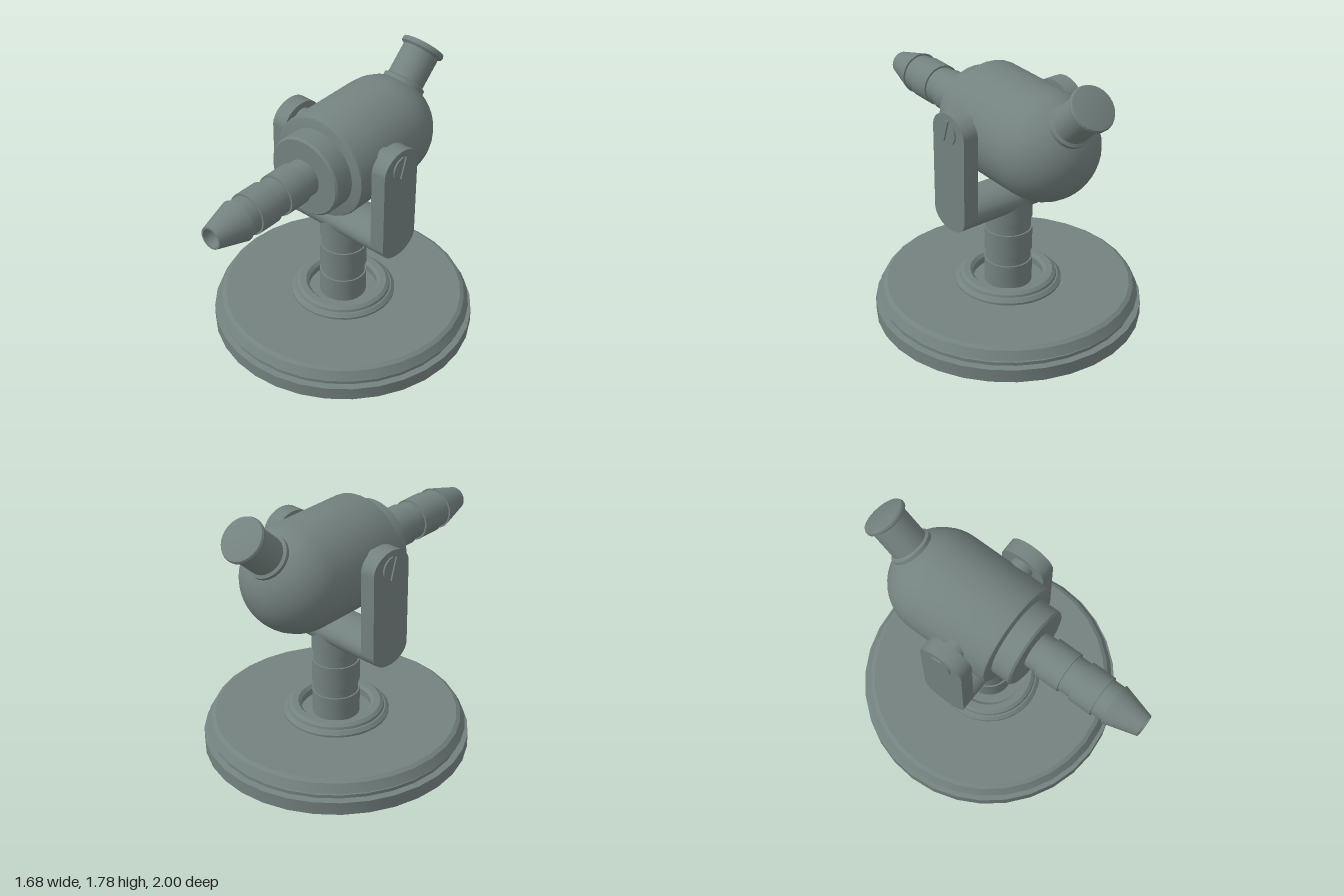
import * as THREE from 'three';
import { toCreasedNormals } from 'three/addons/utils/BufferGeometryUtils.js';

const material = new THREE.MeshStandardMaterial({ color: 0x74827f });
const CZ = -0.145; // z of the stand axis
const AXIS_Y = 1.28; // height of the body axis

function mesh(name, geometry) {
  const m = new THREE.Mesh(toCreasedNormals(geometry, 0.5), material);
  m.name = name;
  return m;
}

// Turned part around y; profile is a list of [radius, height], running upward on the outside
function turned(name, profile, sides = 32) {
  return mesh(name, new THREE.LatheGeometry(profile.map(([r, y]) => new THREE.Vector2(r, y)), sides));
}

// Profile of stacked rings, each [radius, start, end]
const stack = (rings) => rings.flatMap(([r, a, b]) => [[r, a], [r, b]]);

function makeStand() {
  const stand = new THREE.Group();
  stand.name = 'stand';
  stand.position.z = CZ;
  // Hollow dish, starting at the middle of its underside
  stand.add(turned('base', [
    [0, 0.19], [0.765, 0.19], [0.795, 0.14], [0.775, 0.13], [0.775, 0.1], [0.815, 0.08], [0.815, 0],
    [0.84, 0], [0.84, 0.085], [0.8, 0.09], [0.8, 0.112], [0.79, 0.115], [0.79, 0.135],
    [0.82, 0.135], [0.79, 0.19], [0.765, 0.205], [0, 0.205],
  ]));
  stand.add(turned('collar', [
    [0.335, 0.2], [0.335, 0.218], [0.315, 0.238], [0.305, 0.24], [0.3, 0.255], [0.28, 0.27],
    [0.24, 0.27], [0.22, 0.25], [0.22, 0.2],
  ]));
  stand.add(turned('post', [...stack([
    [0.15, 0.2, 0.365], [0.14, 0.365, 0.435], [0.15, 0.435, 0.585],
    [0.14, 0.585, 0.665], [0.15, 0.665, 0.815],
  ]), [0, 0.815]]));

  // Oval cross bar
  const bar = new THREE.CylinderGeometry(1, 1, 0.8, 32);
  bar.rotateZ(Math.PI / 2).scale(1, 0.105, 0.15).translate(0, 0.815, 0);
  stand.add(mesh('crossBar', bar));

  // Two arms, each with a pivot pin and slotted screw head
  const outline = new THREE.Shape();
  outline.absellipse(0, 1.355, 0.153, 0.12, 0, Math.PI);
  outline.absellipse(0, 0.815, 0.15, 0.105, Math.PI, 2 * Math.PI);
  const half = new THREE.Shape();
  const t = Math.acos(0.014 / 0.075);
  half.absarc(0, 0, 0.075, -t, t);
  ['leftArm', 'rightArm'].forEach((name, i) => {
    const side = new THREE.Group();
    side.name = name;
    side.rotation.y = i * Math.PI;
    const arm = new THREE.ExtrudeGeometry(outline, { depth: 0.1, bevelEnabled: false, curveSegments: 16 });
    side.add(mesh('arm', arm.rotateY(Math.PI / 2).translate(0.345, 0, 0)));
    const pin = new THREE.CylinderGeometry(0.075, 0.075, 0.12, 24);
    side.add(mesh('pivotPin', pin.rotateZ(Math.PI / 2).translate(0.3, 1.362, 0)));
    for (let k = 0; k < 2; k++) {
      const head = new THREE.ExtrudeGeometry(half, { depth: 0.012, bevelEnabled: false, curveSegments: 12 });
      head.rotateZ(k * Math.PI - 0.3).rotateY(Math.PI / 2).translate(0.443, 1.362, 0);
      side.add(mesh('screwHeadHalf', head));
    }
    stand.add(side);
  });
  return stand;
}

function makeBody() {
  const body = new THREE.Group();
  body.name = 'body';
  body.position.y = AXIS_Y;
  body.rotation.x = Math.PI / 2; // turned parts now run along z

  // Housing with a domed back
  const profile = [];
  for (let i = 0; i <= 12; i++) {
    const a = (i / 12) * Math.PI / 2;
    profile.push([0.335 * Math.sin(a), -0.48 - 0.335 * Math.cos(a)]);
  }
  profile.push([0.335, 0.068], [0.33, 0.08], [0.318, 0.085], [0, 0.085]);
  body.add(turned('housing', profile));
  body.add(turned('frontPlate', [[0.26, 0.08], [0.26, 0.207], [0.248, 0.22], [0, 0.22]]));

  // Ringed barrel with a tapered, hollow nozzle
  body.add(turned('barrel', [...stack([
    [0.118, 0.21, 0.305], [0.132, 0.305, 0.465], [0.12, 0.465, 0.55],
    [0.132, 0.55, 0.705], [0.12, 0.705, 0.785],
  ]), [0.132, 0.785], [0.072, 1], [0.06, 1], [0.05, 0.86], [0, 0.86]]));
  return body;
}

// Eyepiece rising up and back from the centre of the dome
function makeEyepiece() {
  const eyepiece = new THREE.Group();
  eyepiece.name = 'eyepiece';
  eyepiece.position.set(0, AXIS_Y, -0.48);
  eyepiece.rotation.x = -0.81;
  eyepiece.add(turned('eyepieceRing', [[0.138, 0.28], [0.138, 0.328], [0.12, 0.338]]));
  eyepiece.add(turned('eyepieceTube', [
    [0.12, 0.28], [0.12, 0.54], [0.14, 0.553], [0.142, 0.57], [0.136, 0.583], [0.12, 0.587], [0, 0.587],
  ]));
  return eyepiece;
}

export function createModel() {
  const model = new THREE.Group();
  model.name = 'swivelNozzleOnStand';
  model.add(makeStand(), makeBody(), makeEyepiece());
  return model;
}
